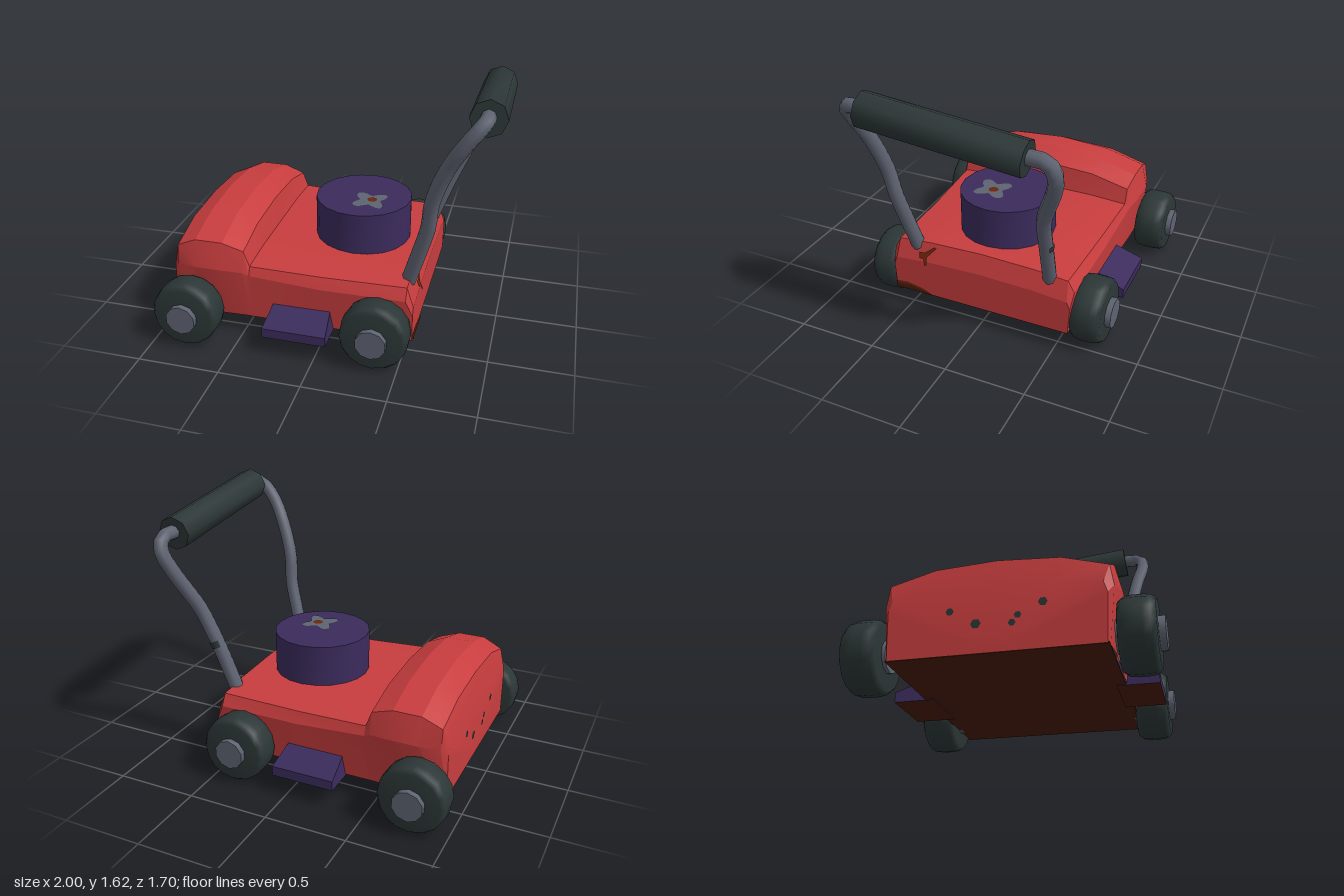
import * as THREE from 'three';
import { toCreasedNormals } from 'three/addons/utils/BufferGeometryUtils.js';

const colour = (name, hex) => {
  const m = new THREE.MeshStandardMaterial({ color: hex });
  m.name = name;
  return m;
};

export function createModel() {
  const red = colour('red paint', 0xc83d3e);
  const purple = colour('purple paint', 0x3b2b5c);
  const rubber = colour('dark rubber', 0x2c3636);
  const steel = colour('grey steel', 0x5e6371);
  const rust = colour('rust', 0x6a260c);
  const underside = colour('dark brown', 0x4c1c0a);

  const model = new THREE.Group();
  model.name = 'lawnMower';
  const add = (name, geometry, material, parent = model) => {
    const mesh = new THREE.Mesh(geometry, material);
    mesh.name = name;
    parent.add(mesh);
    return mesh;
  };

  // Deck: cross-sections along x, each mirrored in z
  // x, top centre y, top mid y, edge y, edge z, widest y, widest z, bottom z
  const sections = [
    [-0.925, 0.50, 0.49, 0.46, 0.56, 0.40, 0.58, 0.57],
    [-0.89, 0.66, 0.64, 0.57, 0.59, 0.45, 0.61, 0.58],
    [-0.77, 0.72, 0.695, 0.625, 0.60, 0.46, 0.64, 0.59],
    [-0.60, 0.72, 0.695, 0.625, 0.60, 0.46, 0.64, 0.59],
    [-0.47, 0.66, 0.64, 0.58, 0.59, 0.45, 0.62, 0.585],
    [-0.435, 0.50, 0.50, 0.485, 0.59, 0.43, 0.61, 0.585],
    [0.0, 0.50, 0.50, 0.47, 0.575, 0.40, 0.605, 0.585],
    [0.515, 0.50, 0.49, 0.47, 0.56, 0.40, 0.60, 0.58],
    [0.557, 0.38, 0.37, 0.35, 0.57, 0.30, 0.59, 0.58],
  ];
  const BOTTOM = 0.13;
  const rings = sections.map(([x, tc, tm, te, ze, yw, zw, zb]) => {
    const half = [[BOTTOM, zb], [yw, zw], [te, ze], [tm, 0.34]];
    const left = half.map(([y, z]) => new THREE.Vector3(x, y, z));
    const right = half.map(([y, z]) => new THREE.Vector3(x, y, -z)).reverse();
    return [...left, new THREE.Vector3(x, tc, 0), ...right];
  });
  const tris = [];
  const n = rings[0].length;
  for (let s = 0; s < rings.length - 1; s++) {
    for (let i = 0; i < n - 1; i++) {
      const a = rings[s][i], b = rings[s][i + 1], c = rings[s + 1][i], d = rings[s + 1][i + 1];
      tris.push(a, c, b, b, c, d);
    }
  }
  const first = rings[0], last = rings[rings.length - 1];
  const o1 = new THREE.Vector3(first[0].x, BOTTOM, 0);
  const o2 = new THREE.Vector3(last[0].x, BOTTOM, 0);
  for (let i = 0; i < n - 1; i++) {
    tris.push(o1, first[i], first[i + 1], o2, last[i + 1], last[i]);
  }
  const deck = new THREE.BufferGeometry().setFromPoints(tris);
  add('deck', toCreasedNormals(deck, 0.33), red);
  add('deckUnderside', new THREE.BoxGeometry(1.48, 0.008, 1.16), underside).position.set(-0.184, 0.13, 0);

  // Engine
  add('engine', toCreasedNormals(new THREE.CylinderGeometry(0.3, 0.3, 0.3, 20), 0.6), purple)
    .position.set(0.123, 0.606, 0);

  // Wheels with axle hubs
  const tyreProfile = [[0, -0.097], [0.18, -0.097], [0.2, -0.07], [0.206, -0.03],
    [0.206, 0.03], [0.2, 0.07], [0.18, 0.097], [0, 0.097]]
    .map(([r, y]) => new THREE.Vector2(r, y));
  const tyre = new THREE.LatheGeometry(tyreProfile, 16);
  const hub = toCreasedNormals(new THREE.CylinderGeometry(0.092, 0.092, 0.25, 10), 0.8);
  for (const [name, x, z] of [['front', -0.79, 0.717], ['rear', 0.355, 0.67]]) {
    for (const side of [1, -1]) {
      const wheel = new THREE.Group();
      wheel.name = name + (side > 0 ? 'LeftWheel' : 'RightWheel');
      add('tyre', tyre, rubber, wheel);
      add('hub', hub, steel, wheel).position.y = 0.008;
      wheel.rotation.x = side * Math.PI / 2;
      wheel.position.set(x, 0.206, side * z);
      model.add(wheel);
    }
  }

  // Side chutes: boxes sloping down outwards, brown beneath
  const chuteMaterials = [purple, purple, purple, underside, purple, purple];
  for (const side of [1, -1]) {
    const chute = new THREE.BoxGeometry(0.39, 0.13, 0.24);
    const p = chute.attributes.position;
    for (let i = 0; i < p.count; i++) {
      const inner = p.getZ(i) * side < 0;
      if (p.getY(i) > 0) {
        if (inner) p.setX(i, p.getX(i) * 0.88);
        p.setY(i, inner ? 0.09 : -0.005);
      }
    }
    add('sideChute', toCreasedNormals(chute, 0.2), chuteMaterials).position.set(-0.115, 0.187, side * 0.647);
  }

  // Handle legs, bent unevenly
  const legs = {
    leftHandleLeg: [[0.50, 0.45, 0.44], [0.555, 0.64, 0.472], [0.61, 0.84, 0.503], [0.632, 1.02, 0.535],
      [0.71, 1.24, 0.58], [0.80, 1.40, 0.615], [0.875, 1.50, 0.60], [0.895, 1.52, 0.55], [0.895, 1.52, 0.46]],
    rightHandleLeg: [[0.50, 0.45, -0.44], [0.61, 0.74, -0.457], [0.705, 0.96, -0.48], [0.75, 1.06, -0.515],
      [0.82, 1.22, -0.58], [0.87, 1.34, -0.605], [0.885, 1.41, -0.57], [0.88, 1.42, -0.43]],
  };
  for (const [name, pts] of Object.entries(legs)) {
    const curve = new THREE.CatmullRomCurve3(pts.map((q) => new THREE.Vector3(...q)), false, 'centripetal');
    add(name, new THREE.TubeGeometry(curve, 22, 0.044, 8), steel);
    const foot = add('legFoot', new THREE.SphereGeometry(0.044, 8, 6), steel);
    foot.position.set(...pts[0]);
  }

  // Dark worn mark on the outer side of the right leg
  const up = new THREE.Vector3(0, 1, 0);
  const mark = add('legMark', new THREE.CylinderGeometry(0.047, 0.047, 0.045, 6, 1, true, Math.PI * 0.75, Math.PI * 0.5), rubber);
  mark.position.set(0.615, 0.75, -0.457);
  mark.quaternion.setFromUnitVectors(up, new THREE.Vector3(0.1, 0.24, -0.02).normalize());

  // Grip
  const g1 = new THREE.Vector3(0.898, 1.513, 0.488), g2 = new THREE.Vector3(0.88, 1.41, -0.46);
  const axis = g1.clone().sub(g2);
  const grip = add('grip', toCreasedNormals(new THREE.CylinderGeometry(0.104, 0.104, axis.length(), 8), 0.9), rubber);
  grip.position.copy(g1).add(g2).multiplyScalar(0.5);
  grip.quaternion.setFromUnitVectors(up, axis.normalize());

  // Worn patches: thin flat shapes
  const patch = (pts) => new THREE.ShapeGeometry(new THREE.Shape(pts.map(([x, y]) => new THREE.Vector2(x, y))));
  const blob = [];
  for (let i = 0; i < 32; i++) {
    const a = i * Math.PI / 16, r = 0.095 - 0.032 * Math.cos(4 * a);
    blob.push([r * Math.cos(a), r * Math.sin(a)]);
  }
  const splat = add('engineBarePatch', patch(blob), steel);
  splat.position.set(0.178, 0.76, 0.08);
  const spot = add('engineRustSpot', new THREE.CircleGeometry(0.032, 8), rust);
  spot.position.set(0.19, 0.763, 0.07);
  splat.rotation.x = spot.rotation.x = -Math.PI / 2;

  // Rear rust: local x runs towards -z
  const crack = add('rearRustCrack', patch([[-0.41, 0.425], [-0.375, 0.425], [-0.31, 0.475], [-0.295, 0.47],
    [-0.355, 0.40], [-0.35, 0.35], [-0.365, 0.345], [-0.378, 0.385], [-0.405, 0.385]]), rust);
  const edge = add('rearRustEdge', patch([[-0.58, 0.13], [-0.58, 0.175], [-0.50, 0.182], [-0.40, 0.165], [-0.31, 0.13]]), rust);
  const burn = add('rearDarkEdge', patch([[-0.58, 0.13], [-0.58, 0.158], [-0.48, 0.165], [-0.40, 0.152], [-0.31, 0.13]]), underside);
  [crack, edge, burn].forEach((m, i) => {
    m.rotation.y = Math.PI / 2;
    m.position.x = 0.559 + i * 0.002;
  });
  crack.rotation.order = 'YXZ';
  crack.rotation.x = -0.334;
  crack.position.set(0.686, 0.025, 0);

  // Chips on the front end
  for (const [y, z, r] of [[0.37, -0.24, 0.022], [0.29, -0.1, 0.028], [0.28, 0.09, 0.02], [0.32, 0.12, 0.02], [0.38, 0.25, 0.025]]) {
    const chip = add('frontChip', new THREE.CircleGeometry(r, 6), rubber);
    chip.rotation.y = -Math.PI / 2;
    chip.position.set(-0.928, y, z);
  }
  return model;
}
